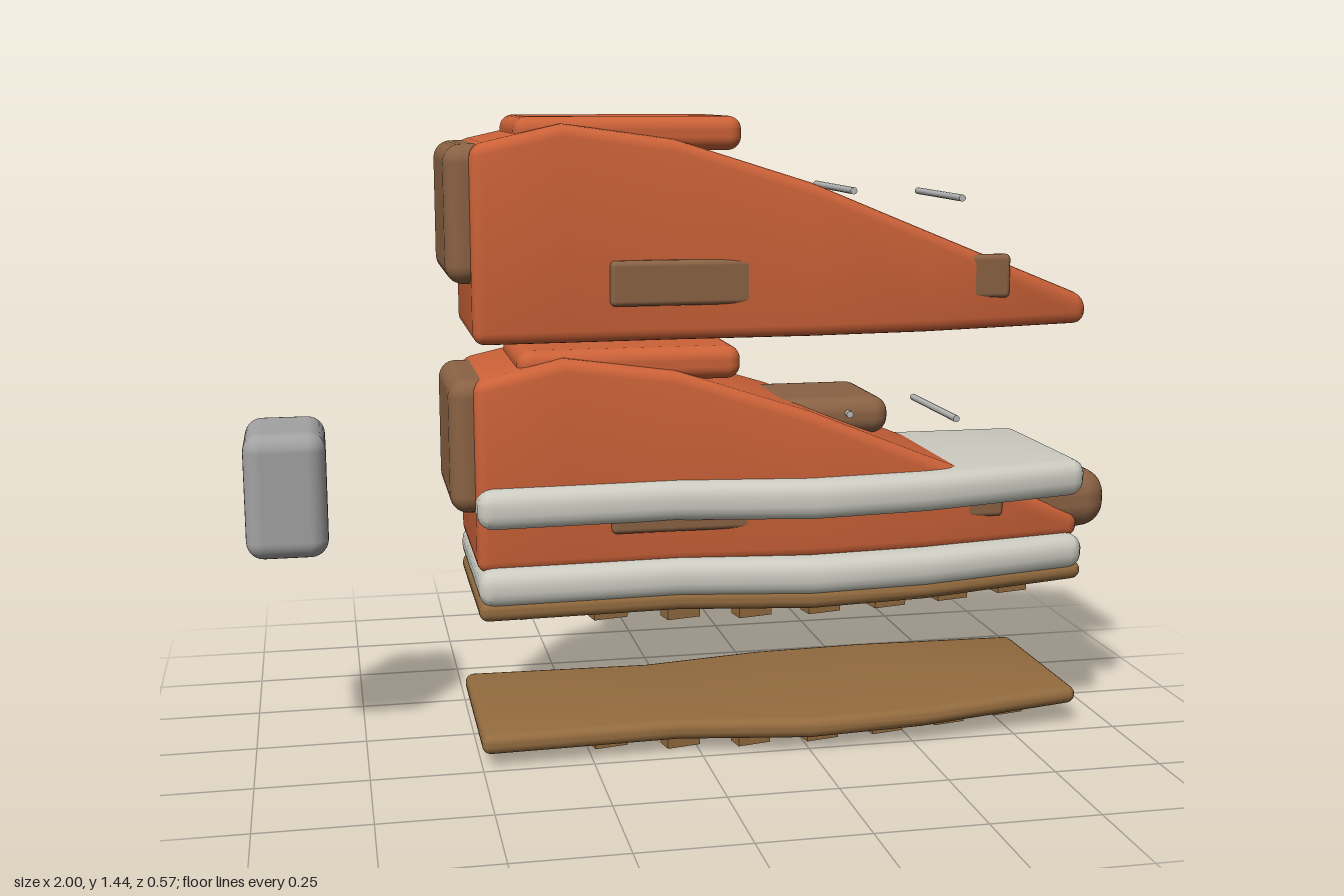
import * as THREE from 'three';
import { toCreasedNormals } from 'three/addons/utils/BufferGeometryUtils.js';
import { RoundedBoxGeometry } from 'three/addons/geometries/RoundedBoxGeometry.js';

const material = (color) => new THREE.MeshStandardMaterial({ color });
const orange = material(0xcc6238);
const brown = material(0x8a6244);
const rubber = material(0x936b3f);
const foam = material(0xccccc2);
const grey = material(0xa2a2a2);
const metal = material(0xb8b8b8);

function add(parent, name, geometry, mat, x = 0, y = 0, z = 0) {
  const mesh = new THREE.Mesh(geometry, mat);
  mesh.name = name;
  mesh.position.set(x, y, z);
  parent.add(mesh);
  return mesh;
}

// Rounded box given by its extents
function pad(parent, name, [x0, x1], [y0, y1], [z0, z1], r, mat) {
  const geo = new RoundedBoxGeometry(x1 - x0, y1 - y0, z1 - z0, 4, r);
  return add(parent, name, geo, mat, (x0 + x1) / 2, (y0 + y1) / 2, (z0 + z1) / 2);
}

// Interpolated station [x, halfWidth, bottom, top]
function stationAt(stations, x) {
  let i = 0;
  while (i < stations.length - 2 && x > stations[i + 1][0]) i++;
  const a = stations[i], b = stations[i + 1];
  const t = (x - a[0]) / (b[0] - a[0]);
  return a.map((v, k) => v + (b[k] - v) * t);
}

// Loft along x through rounded rectangles, with rounded ends
function loft(stations, r) {
  const N = 4;
  const first = stations[0][0], last = stations[stations.length - 1][0];
  const rings = [];
  for (let k = 0; k <= N; k++) {
    const a = (k / N) * Math.PI / 2;
    rings.push([first + r * (1 - Math.cos(a)), r * Math.sin(a)]);
  }
  stations.slice(1, -1).forEach((s) => rings.push([s[0], r]));
  for (let k = N; k >= 0; k--) {
    const a = (k / N) * Math.PI / 2;
    rings.push([last - r * (1 - Math.cos(a)), r * Math.sin(a)]);
  }

  const positions = [], index = [];
  const M = 4 * (N + 1);
  for (const [x, rc] of rings) {
    const [, w, y0, y1] = stationAt(stations, x);
    for (let q = 0; q < 4; q++) {
      const cz = (q === 0 || q === 3 ? 1 : -1) * (w - r);
      const cy = q < 2 ? y1 - r : y0 + r;
      for (let k = 0; k <= N; k++) {
        const a = (q + k / N) * Math.PI / 2;
        positions.push(x, cy + rc * Math.sin(a), cz + rc * Math.cos(a));
      }
    }
  }
  for (let i = 0; i < rings.length - 1; i++) {
    for (let j = 0; j < M; j++) {
      const a = i * M + j, b = i * M + (j + 1) % M;
      index.push(a, a + M, b, b, a + M, b + M);
    }
  }
  // End caps
  const end = (rings.length - 1) * M;
  for (let j = 1; j < M - 1; j++) {
    index.push(0, j, j + 1, end, end + j + 1, end + j);
  }
  const geo = new THREE.BufferGeometry();
  geo.setAttribute('position', new THREE.Float32BufferAttribute(positions, 3));
  geo.setIndex(index);
  return toCreasedNormals(geo.toNonIndexed(), 0.5);
}

const BODY = [
  [-0.5, 0.21, 0.95, 1.38], [-0.3, 0.205, 0.95, 1.425], [-0.05, 0.197, 0.95, 1.39],
  [0.25, 0.235, 0.955, 1.295], [0.52, 0.228, 0.957, 1.185], [0.92, 0.19, 0.963, 1.025],
];

// Waisted sole plate with a slight toe lift
function soleGeometry(bottom, thickness, inset, lift, r) {
  const outline = [[-0.5, 0.25], [-0.05, 0.235], [0.25, 0.285], [0.52, 0.281], [0.92, 0.23]];
  const rise = [0, 0, 0, 0.3, 1];
  return loft(outline.map(([x, w], i) => [
    x, w - inset, bottom + lift * rise[i], bottom + thickness + lift * rise[i] * 0.75,
  ]), r);
}

// Upper with collar, heel counter, side panel
function makeUpper(name, y) {
  const g = new THREE.Group();
  g.name = name;
  g.position.y = y;
  add(g, 'upperBody', loft(BODY, 0.027), orange);
  pad(g, 'collarPad', [-0.4, 0.105], [1.365, 1.44], [-0.17, 0.17], 0.03, orange);
  pad(g, 'heelCounter', [-0.553, -0.43], [1.08, 1.382], [-0.18, 0.18], 0.04, brown);
  pad(g, 'sidePanel', [-0.2, 0.72], [1.03, 1.13], [0.187, 0.217], 0.012, brown);
  return g;
}

// Lace bar lying across the upper
function laceBar(parent, x, y) {
  const geo = new THREE.CylinderGeometry(0.008, 0.008, 0.315, 12);
  geo.rotateX(Math.PI / 2);
  add(parent, 'laceBar', geo, metal, x, y, 0);
}

// Outsole plate with rows of tread lugs
function makeOutsole(name, y) {
  const g = new THREE.Group();
  g.name = name;
  g.position.y = y;
  add(g, 'outsolePlate', soleGeometry(0.03, 0.046, 0.012, 0.022, 0.02), rubber);
  for (let i = 0; i < 8; i++) {
    const x = -0.363 + i * 0.164;
    const spread = 0.06 + 0.058 * Math.sin((i / 7) * Math.PI);
    for (let j = 0; j < 4; j++) {
      const lug = add(g, 'treadLug', new THREE.BoxGeometry(0.08, 0.055, 0.045), rubber,
        x, 0.0275, (j - 1.5) * spread);
      lug.rotation.y = (j % 2 ? 1 : -1) * 0.2;
    }
  }
  return g;
}

export function createModel() {
  const model = new THREE.Group();
  model.name = 'explodedShoe';

  // Lifted upper
  const top = makeUpper('liftedUpper', 0);
  laceBar(top, 0.363, 1.273);
  laceBar(top, 0.62, 1.254);
  model.add(top);

  // Assembled shoe
  const shoe = new THREE.Group();
  shoe.name = 'assembledShoe';
  const upper = makeUpper('upper', -0.51);
  laceBar(upper, 0.363, 1.273);
  laceBar(upper, 0.62, 1.254);
  shoe.add(upper);
  pad(shoe, 'tongue', [0.1, 0.465], [0.71, 0.797], [-0.142, 0.142], 0.038, brown);
  pad(shoe, 'toeCap', [0.76, 0.997], [0.47, 0.61], [-0.19, 0.19], 0.06, brown);
  add(shoe, 'upperMidsole', soleGeometry(0.545, 0.09, 0, 0.017, 0.034), foam);
  add(shoe, 'lowerMidsole', soleGeometry(0.37, 0.085, 0, 0.017, 0.034), foam);
  shoe.add(makeOutsole('outsole', 0.308));
  model.add(shoe);

  // Dropped outsole
  model.add(makeOutsole('droppedOutsole', 0));

  // Separate heel block
  pad(model, 'heelBlock', [-1, -0.82], [0.475, 0.757], [-0.138, 0.138], 0.04, grey);

  return model;
}
